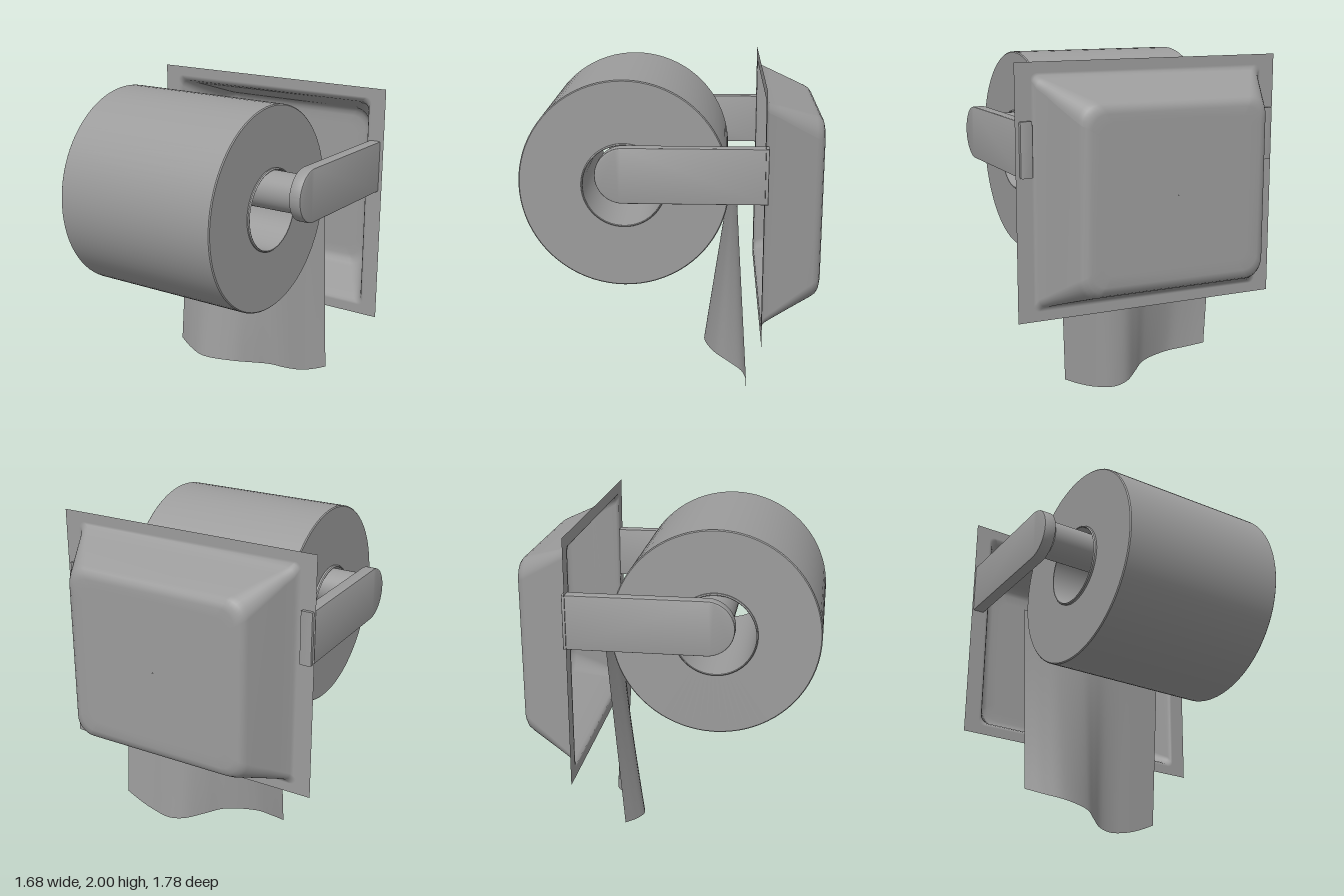
import * as THREE from 'three';
import { toCreasedNormals } from 'three/addons/utils/BufferGeometryUtils.js';

const solid = new THREE.MeshStandardMaterial({ color: 0x9c9c9c });
const thin = new THREE.MeshStandardMaterial({ color: 0x9c9c9c, side: THREE.DoubleSide });

function add(group, name, geometry, material = solid) {
  const mesh = new THREE.Mesh(geometry, material);
  mesh.name = name;
  group.add(mesh);
  return mesh;
}

// Points of a rounded rectangle, counter-clockwise
function roundedRect(hx, y0, y1, r, steps = 8) {
  const points = [];
  const corners = [[hx - r, y1 - r], [r - hx, y1 - r], [r - hx, y0 + r], [hx - r, y0 + r]];
  corners.forEach(([cx, cy], q) => {
    for (let i = 0; i <= steps; i++) {
      const a = (q + i / steps) * Math.PI / 2;
      points.push(new THREE.Vector2(cx + r * Math.cos(a), cy + r * Math.sin(a)));
    }
  });
  return points;
}

// Indexed grid surface; point(i, j) returns [x, y, z]
function surface(nu, nv, point) {
  const pos = [], index = [];
  for (let j = 0; j <= nv; j++) {
    for (let i = 0; i <= nu; i++) pos.push(...point(i, j));
  }
  for (let j = 0; j < nv; j++) {
    for (let i = 0; i < nu; i++) {
      const a = j * (nu + 1) + i, b = a + 1, c = a + nu + 1, d = c + 1;
      index.push(a, b, d, a, d, c);
    }
  }
  const g = new THREE.BufferGeometry();
  g.setAttribute('position', new THREE.Float32BufferAttribute(pos, 3));
  g.setIndex(index);
  g.computeVertexNormals();
  return g;
}

// Turned part lying along x, from a closed [radius, x] profile; doubled points keep its edges sharp
function turned(profile) {
  const points = profile.flatMap(([r, x]) => [new THREE.Vector2(r, x), new THREE.Vector2(r, x)]);
  return new THREE.LatheGeometry(points.slice(1, -1), 80).rotateZ(-Math.PI / 2);
}

export function createModel() {
  const model = new THREE.Group();
  model.name = 'toiletRollHolder';

  // Wall plate: flat flange around the recess
  const plate = new THREE.Shape([[-0.84, 0.507], [0.84, 0.507], [0.84, 1.997], [-0.84, 1.997]]
    .map(([x, y]) => new THREE.Vector2(x, y)));
  plate.holes.push(new THREE.Path(roundedRect(0.745, 0.565, 1.937, 0.04)));
  add(model, 'wallFlange', new THREE.ShapeGeometry(plate), thin).position.z = -0.54;

  // Recessed box with a soft lip: rings of [z, half width, bottom, top, corner radius]
  const rings = [
    [-0.54, 0.745, 0.565, 1.937, 0.04],
    [-0.54, 0.73, 0.58, 1.922, 0.04],
    [-0.56, 0.718, 0.594, 1.902, 0.05],
    [-0.62, 0.69, 0.618, 1.88, 0.06],
    [-0.7, 0.656, 0.647, 1.85, 0.08],
    [-0.84, 0.594, 0.697, 1.797, 0.11],
    [-0.865, 0.58, 0.711, 1.783, 0.11],
    [-0.882, 0.558, 0.735, 1.762, 0.1],
    [-0.89, 0.53, 0.765, 1.732, 0.09],
    [-0.89, 0.47, 0.825, 1.672, 0.07],
    [-0.89, 0.002, 1.25, 1.254, 0.001],
  ].map(([z, ...rect]) => ({ z, points: roundedRect(...rect) }));
  const n = rings[0].points.length;
  add(model, 'recess', surface(n, rings.length - 1, (i, j) => {
    const p = rings[j].points[i % n];
    return [p.x, p.y, rings[j].z];
  }), thin);

  // Arms with rounded front ends
  const b = 0.008;
  const arm = new THREE.Shape();
  arm.moveTo(-0.56 + b, 1.352 + b);
  arm.lineTo(0.25, 1.352 + b);
  arm.absarc(0.25, 1.512, 0.16 - b, -Math.PI / 2, Math.PI / 2, false);
  arm.lineTo(-0.56 + b, 1.672 - b);
  arm.closePath();
  const armGeometry = new THREE.ExtrudeGeometry(arm, {
    depth: 0.075 - 2 * b, bevelThickness: b, bevelSize: b, bevelSegments: 2, curveSegments: 28,
  });
  armGeometry.translate(0, 0, b - 0.0375);
  armGeometry.rotateY(-Math.PI / 2);
  const armSmooth = toCreasedNormals(armGeometry, 0.6);
  add(model, 'leftArm', armSmooth).position.x = 0.779;
  add(model, 'rightArm', armSmooth).position.x = -0.793;

  // Spindle between the arms
  const spindle = new THREE.CylinderGeometry(0.115, 0.115, 1.482, 48);
  spindle.rotateZ(Math.PI / 2);
  add(model, 'spindle', spindle).position.set(0, 1.507, 0.265);

  // Paper roll and its cardboard core
  const R = 0.617, r = 0.247, e = 0.006;
  add(model, 'paperRoll', turned([
    [r, -0.538], [R - e, -0.538], [R, -0.538 + e],
    [R, 0.537 - e], [R - e, 0.537], [r, 0.537], [r, -0.538],
  ])).position.set(0, 1.383, 0.27);
  add(model, 'cardboardCore', turned([
    [0.24, -0.555], [0.244, -0.557], [0.25, -0.55], [0.25, 0.545],
    [0.244, 0.552], [0.24, 0.55], [0.24, -0.555],
  ])).position.set(0, 1.383, 0.27);

  // Loose sheet: straight at the top, waving towards its free lower edge
  const hem = new THREE.CatmullRomCurve3([
    [-0.538, 0.112, -0.28], [-0.42, 0.082, -0.228], [-0.3, 0.063, -0.2], [-0.1, 0.05, -0.27],
    [0, 0.03, -0.36], [0.1, 0.01, -0.447], [0.2, 0, -0.475], [0.33, 0.02, -0.472],
    [0.44, 0.058, -0.47], [0.524, 0.097, -0.468],
  ].map((p) => new THREE.Vector3(...p)));
  const hemPoints = hem.getPoints(45);
  add(model, 'looseSheet', surface(45, 12, (i, j) => {
    const t = j / 12, p = hemPoints[i];
    return [p.x, 1.37 + (p.y - 1.37) * t, -0.387 + (p.z + 0.387) * t];
  }), thin);

  return model;
}
